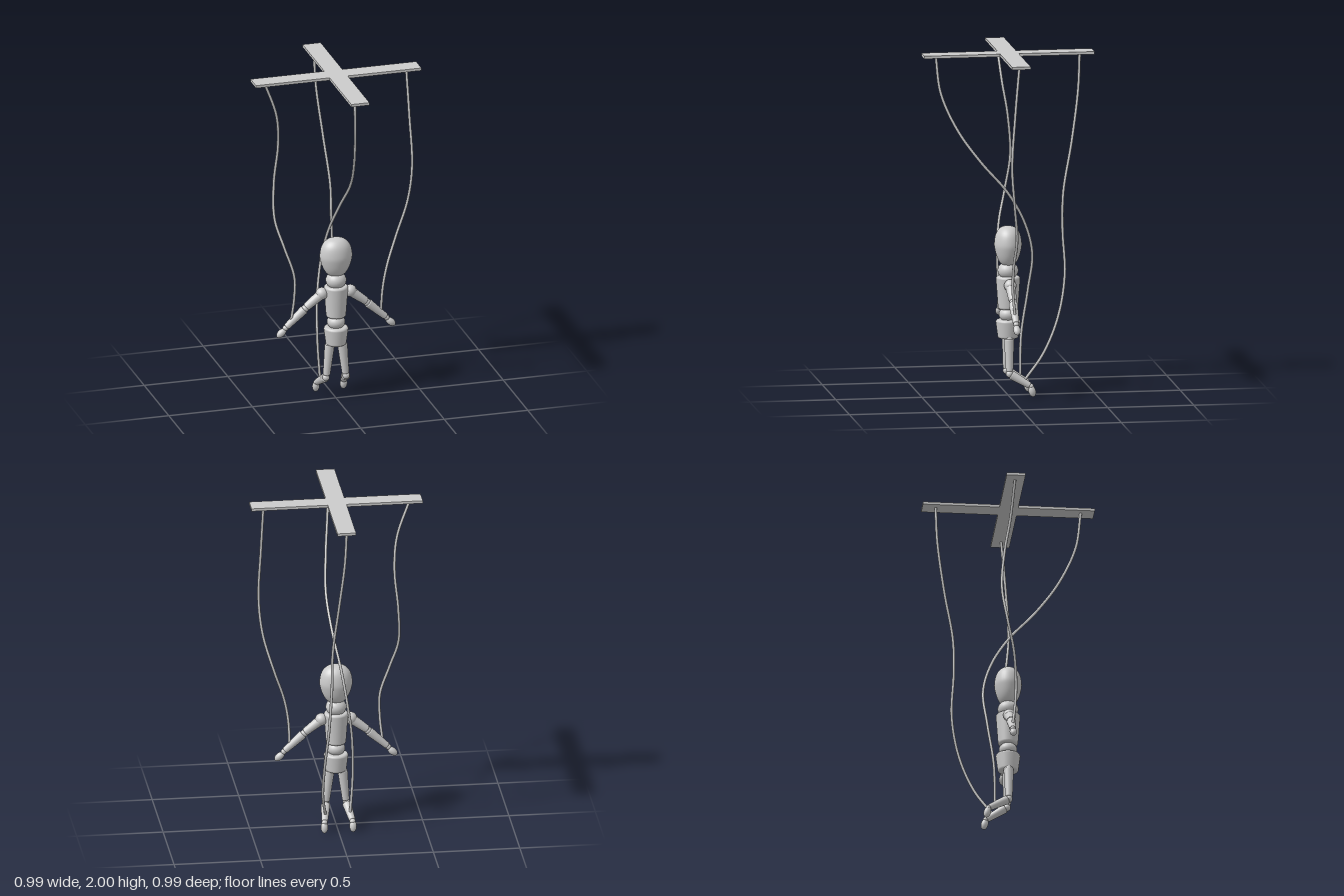
import * as THREE from 'three';

const material = new THREE.MeshStandardMaterial({ color: 0xcccccc });
const vec = (p) => new THREE.Vector3(...p);

function addMesh(parent, name, geometry) {
  const mesh = new THREE.Mesh(geometry, material);
  mesh.name = name;
  parent.add(mesh);
  return mesh;
}

function ball(parent, name, p, r, sy = 1) {
  const mesh = addMesh(parent, name, new THREE.SphereGeometry(r, 24, 16));
  mesh.position.set(...p);
  mesh.scale.y = sy;
  return mesh;
}

// Turned peg running from a to b, with rounded rims
function peg(parent, name, a, b, r1, r2, bevel) {
  const from = vec(a), dir = vec(b).sub(from), len = dir.length();
  const profile = [new THREE.Vector2(0, 0)];
  for (let i = 0; i <= 4; i++) {
    const t = (i / 4) * Math.PI / 2;
    profile.push(new THREE.Vector2(r1 - bevel + bevel * Math.sin(t), bevel - bevel * Math.cos(t)));
  }
  for (let i = 0; i <= 4; i++) {
    const t = (i / 4) * Math.PI / 2;
    profile.push(new THREE.Vector2(r2 - bevel + bevel * Math.cos(t), len - bevel + bevel * Math.sin(t)));
  }
  profile.push(new THREE.Vector2(0, len));
  const mesh = addMesh(parent, name, new THREE.LatheGeometry(profile, 28));
  mesh.position.copy(from);
  mesh.quaternion.setFromUnitVectors(new THREE.Vector3(0, 1, 0), dir.normalize());
  return mesh;
}

function string(parent, name, points) {
  const curve = new THREE.CatmullRomCurve3(points.map(vec));
  addMesh(parent, name, new THREE.TubeGeometry(curve, 90, 0.008, 10, false));
}

export function createModel() {
  const model = new THREE.Group();
  model.name = 'marionette';

  // Flat control cross
  const L = 0.495, W = 0.054;
  const outline = [[W, W], [W, L], [-W, L], [-W, W], [-L, W], [-L, -W],
    [-W, -W], [-W, -L], [W, -L], [W, -W], [L, -W], [L, W]];
  const cross = new THREE.ExtrudeGeometry(
    new THREE.Shape(outline.map((p) => new THREE.Vector2(...p))), { depth: 0.016, bevelEnabled: false });
  cross.rotateX(-Math.PI / 2).translate(0, 1.984, 0);
  addMesh(model, 'controlCross', cross);

  // Strings
  string(model, 'rightArmString', [[-0.426, 1.986, 0], [-0.35, 1.77, -0.02], [-0.332, 1.58, -0.05],
    [-0.352, 1.34, -0.068], [-0.357, 1.13, -0.035], [-0.31, 0.96, 0.005], [-0.257, 0.79, 0.022],
    [-0.255, 0.656, 0.018], [-0.27, 0.5, 0]]);
  string(model, 'leftArmString', [[0.42, 1.986, 0], [0.431, 1.71, 0.025], [0.442, 1.4, 0.045],
    [0.42, 1.185, 0.028], [0.357, 0.963, 0.004], [0.3, 0.79, 0.015], [0.275, 0.656, 0.015], [0.268, 0.5, 0]]);
  string(model, 'rightLegString', [[-0.01, 1.986, 0.418], [0, 1.77, 0.39], [0.022, 1.556, 0.296],
    [0.038, 1.37, 0.164], [0.02, 1.185, 0.005], [-0.016, 1, -0.1], [-0.045, 0.815, -0.148],
    [-0.075, 0.6, -0.127], [-0.085, 0.34, -0.09], [-0.072, 0.1, -0.082]]);
  string(model, 'leftLegString', [[-0.01, 1.986, -0.418], [0, 1.77, -0.407], [0.03, 1.476, -0.365],
    [0.058, 1.185, -0.312], [0.062, 0.97, -0.307], [0.08, 0.71, -0.317], [0.1, 0.47, -0.275],
    [0.1, 0.26, -0.19], [0.072, 0.1, -0.085]]);

  // Egg-shaped head, a little flatter front to back
  const headProfile = new THREE.SplineCurve([[0, 0.757], [0.045, 0.767], [0.072, 0.8], [0.09, 0.85],
    [0.095, 0.89], [0.082, 0.945], [0.048, 0.98], [0, 0.99]].map((p) => new THREE.Vector2(...p)));
  const headPoints = headProfile.getPoints(28);
  headPoints.forEach((p) => { p.x = Math.max(p.x, 0); });
  addMesh(model, 'head', new THREE.LatheGeometry(headPoints, 36)).scale.z = 0.83;

  // Trunk
  ball(model, 'neck', [0, 0.73, 0], 0.06, 0.85);
  peg(model, 'chest', [0, 0.505, 0], [0, 0.697, 0], 0.058, 0.07, 0.014);
  ball(model, 'waist', [0, 0.474, 0], 0.053, 0.8);
  peg(model, 'pelvis', [0, 0.335, 0], [0, 0.445, 0], 0.06, 0.071, 0.014);

  // Limbs, mirrored
  for (const [side, s] of [['left', 1], ['right', -1]]) {
    const arm = new THREE.Group();
    arm.name = side + 'Arm';
    ball(arm, 'shoulder', [s * 0.085, 0.655, 0], 0.036);
    peg(arm, 'upperArm', [s * 0.092, 0.648, 0], [s * 0.18, 0.58, 0], 0.029, 0.023, 0.006);
    ball(arm, 'elbow', [s * 0.185, 0.573, 0], 0.022);
    peg(arm, 'forearm', [s * 0.19, 0.568, 0], [s * 0.297, 0.472, 0], 0.026, 0.019, 0.006);
    ball(arm, 'wrist', [s * 0.302, 0.466, 0], 0.017);
    ball(arm, 'hand', [s * 0.327, 0.438, 0], 0.021, 1.65).rotation.z = s * 0.87;

    const leg = new THREE.Group();
    leg.name = side + 'Leg';
    ball(leg, 'hip', [s * 0.035, 0.335, 0], 0.028);
    peg(leg, 'thigh', [s * 0.057, 0.15, 0], [s * 0.038, 0.335, 0], 0.021, 0.029, 0.006);
    ball(leg, 'knee', [s * 0.06, 0.136, 0], 0.021);
    peg(leg, 'shin', [s * 0.061, 0.131, -0.01], [s * 0.08, 0.068, -0.114], 0.026, 0.019, 0.006);
    ball(leg, 'ankle', [s * 0.081, 0.064, -0.12], 0.017);
    ball(leg, 'foot', [s * 0.083, 0.037, -0.127], 0.021, 1.65).rotation.x = 0.25;
    model.add(arm, leg);
  }
  return model;
}
